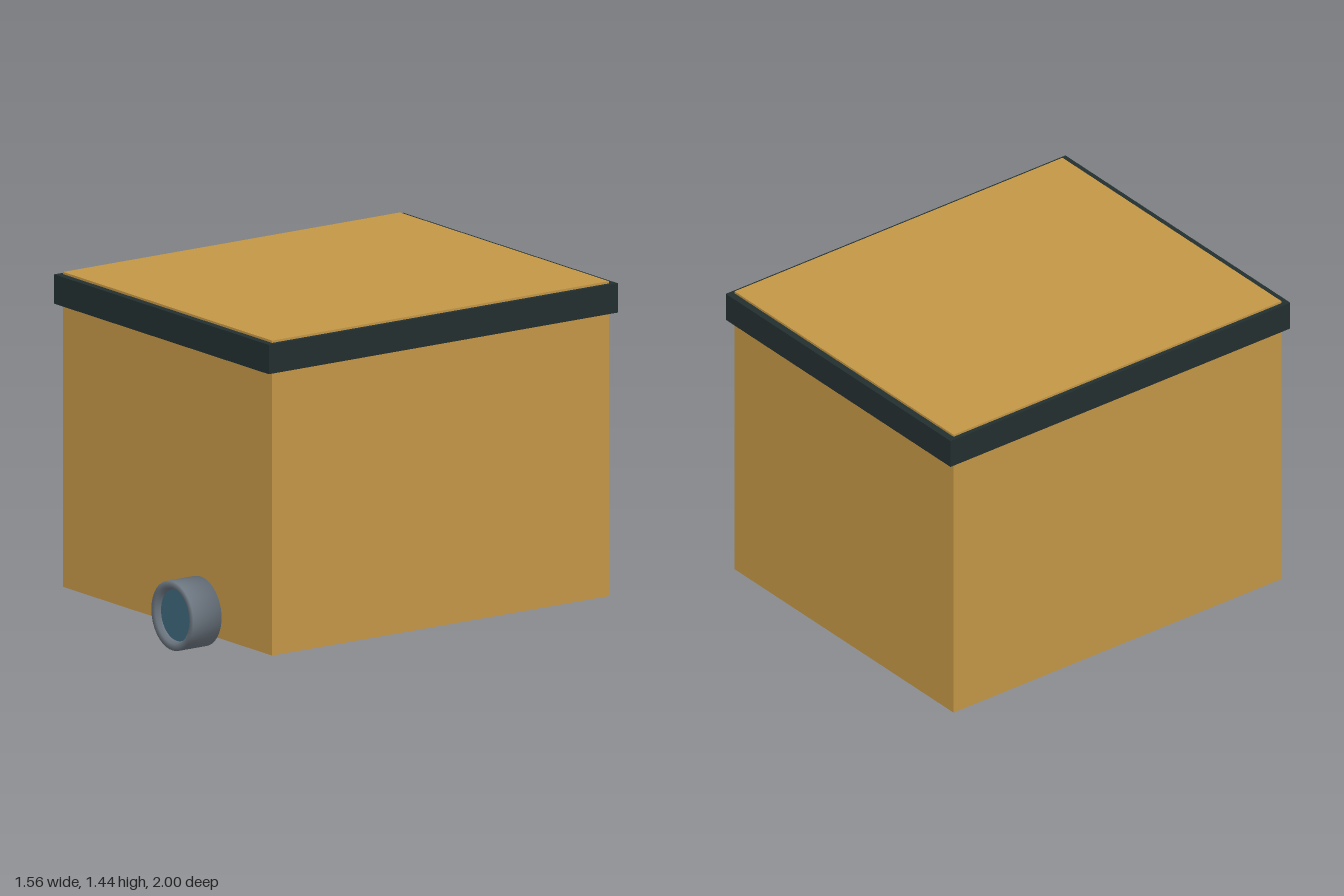
import * as THREE from 'three';

const material = (name, color) => {
  const m = new THREE.MeshStandardMaterial({ color });
  m.name = name;
  return m;
};

export function createModel() {
  const group = new THREE.Group();
  const tan = material('tan', 0xc49746);
  const dark = material('dark slate', 0x232f30);
  const grey = material('steel grey', 0x6c7680);
  const blue = material('lens blue', 0x3d6679);

  const add = (name, geometry, mat, x, y, z) => {
    const mesh = new THREE.Mesh(geometry, mat);
    mesh.name = name;
    mesh.position.set(x, y, z);
    group.add(mesh);
    return mesh;
  };
  const rectangle = (path, w, d) => {
    path.moveTo(-w / 2, -d / 2);
    path.lineTo(w / 2, -d / 2);
    path.lineTo(w / 2, d / 2);
    path.lineTo(-w / 2, d / 2);
    path.closePath();
    return path;
  };

  // Main box, its top standing just proud of the trim
  const centreZ = -0.07;
  add('body', new THREE.BoxGeometry(1.52, 1.395, 1.795), tan, 0, 0.7475, centreZ);

  // Dark band around the upper edge
  const ring = rectangle(new THREE.Shape(), 1.56, 1.86);
  ring.holes.push(rectangle(new THREE.Path(), 1.52, 1.795));
  const band = new THREE.ExtrudeGeometry(ring, { depth: 0.13, bevelEnabled: false });
  band.rotateX(-Math.PI / 2);
  add('topTrim', band, dark, 0, 1.305, centreZ);

  // Round lens housing with a recessed face, floating just off the front
  const profile = [[0, 0], [0.153, 0], [0.153, 0.15], [0.123, 0.15], [0.113, 0.125]]
    .map(([r, y]) => new THREE.Vector2(r, y));
  const housing = new THREE.LatheGeometry(profile, 48);
  housing.rotateX(Math.PI / 2);
  add('lensHousing', housing, grey, 0.27, 0.153, 0.85);
  add('lens', new THREE.CircleGeometry(0.114, 48), blue, 0.27, 0.153, 0.977);

  return group;
}
